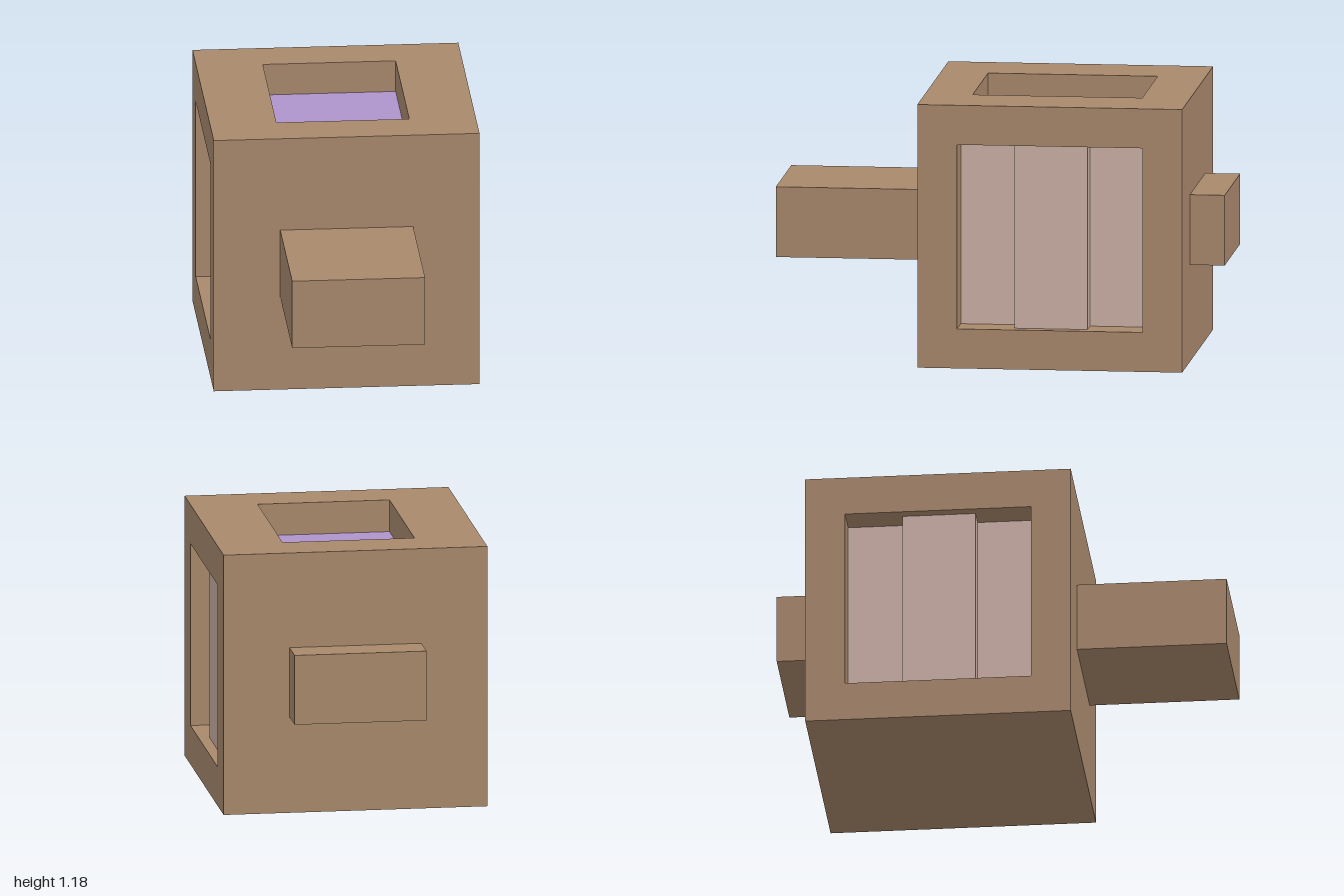
import * as THREE from 'three';

const brown = new THREE.MeshStandardMaterial({ color: 0xa8886c });
brown.name = 'brown';
const pink = new THREE.MeshStandardMaterial({ color: 0xcaafa6 });
pink.name = 'dustyPink';
const purple = new THREE.MeshStandardMaterial({ color: 0xae93cb });
purple.name = 'lavender';

const S = 1.18;      // body cube size
const D = 0.147;     // recess depth
const H = S / 2;
const ZC = -0.255;   // body centre in z

function add(parent, name, geometry, material, x, y, z) {
  const mesh = new THREE.Mesh(geometry, material);
  mesh.name = name;
  mesh.position.set(x, y, z);
  parent.add(mesh);
  return mesh;
}

// Box given by its min and max corners
function addBox(parent, name, material, [x0, y0, z0], [x1, y1, z1]) {
  const g = new THREE.BoxGeometry(x1 - x0, y1 - y0, z1 - z0);
  return add(parent, name, g, material, (x0 + x1) / 2, (y0 + y1) / 2, (z0 + z1) / 2);
}

// Flat wall with a centred rectangular opening, thickness D along +z
function frame(w, h, holeW, holeH) {
  const rect = (target, a, b) => target
    .moveTo(-a / 2, -b / 2).lineTo(a / 2, -b / 2)
    .lineTo(a / 2, b / 2).lineTo(-a / 2, b / 2).closePath();
  const shape = rect(new THREE.Shape(), w, h);
  shape.holes.push(rect(new THREE.Path(), holeW, holeH));
  return new THREE.ExtrudeGeometry(shape, { depth: D, bevelEnabled: false });
}

export function createModel() {
  const model = new THREE.Group();
  model.name = 'model';
  const inner = H - D;
  const floor = S - D;
  const z0 = ZC - H, z1 = ZC + H;

  // Solid core: front, back and bottom
  addBox(model, 'bodyCore', brown, [-inner, 0, z0], [inner, floor, z1]);

  // Top wall with its opening and coloured floor
  add(model, 'topFrame', frame(2 * inner, S, 0.59, 0.756).rotateX(-Math.PI / 2), brown, 0, floor, ZC);
  addBox(model, 'topPanel', purple, [-0.295, floor, ZC - 0.378], [0.295, floor + 0.003, ZC + 0.378]);

  // Side walls with window, back panel and raised central bar
  const win = 0.826;
  for (const s of [1, -1]) {
    const side = new THREE.Group();
    side.name = s > 0 ? 'leftSide' : 'rightSide';
    add(side, 'sideFrame', frame(S, S, win, win).rotateY(s * Math.PI / 2), brown, s * inner, H, ZC);
    add(side, 'windowPanel', new THREE.BoxGeometry(0.003, win, win), pink, s * (inner + 0.0015), H, ZC);
    add(side, 'windowBar', new THREE.BoxGeometry(0.098, win, 0.325), pink, s * (inner + 0.049), H, ZC);
    model.add(side);
  }

  // Rectangular beam ends at front and back
  addBox(model, 'frontBeam', brown, [-0.295, 0.435, z1], [0.295, 0.75, 1]);
  addBox(model, 'backBeam', brown, [-0.295, 0.435, -1], [0.295, 0.75, z0]);

  return model;
}
